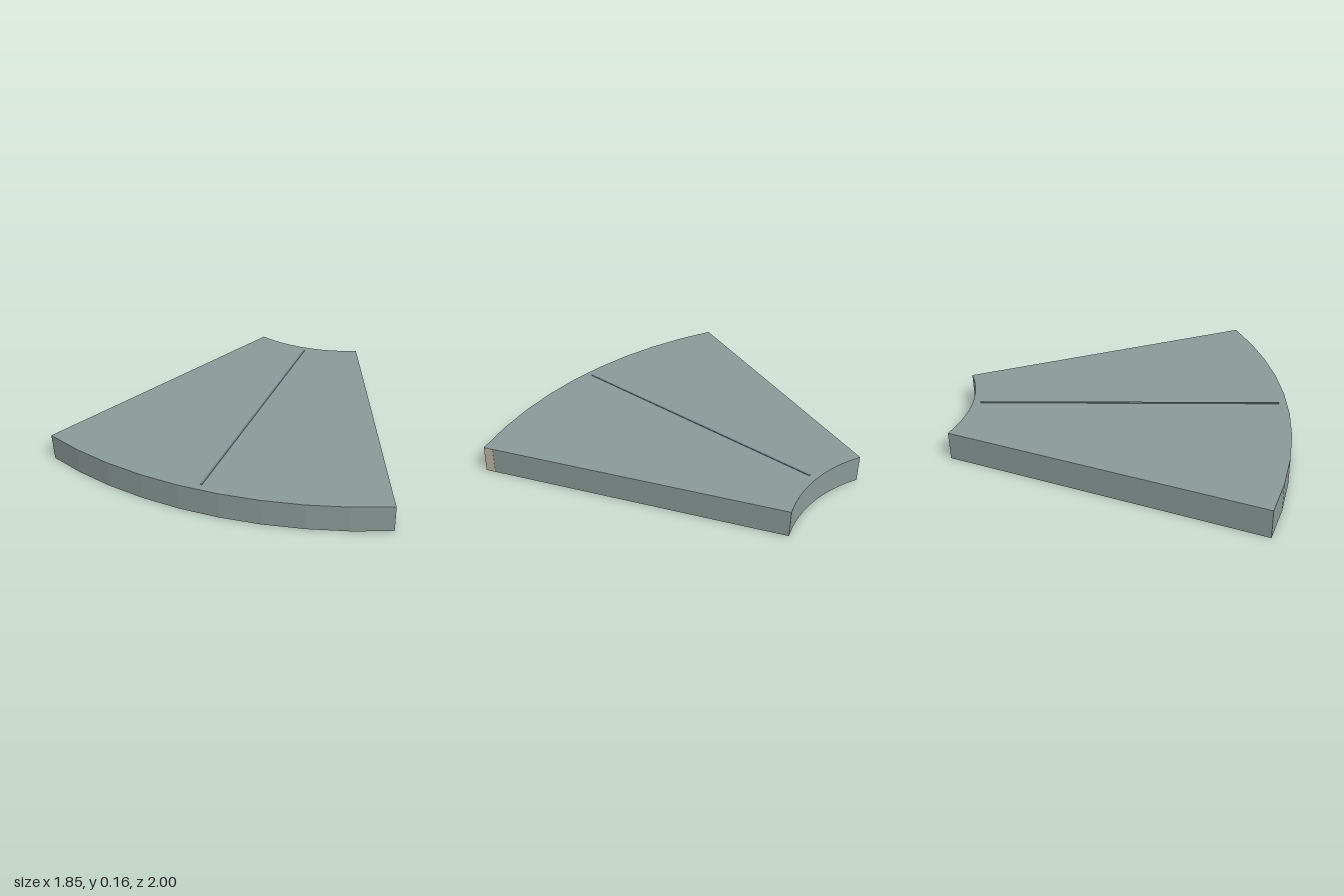
import * as THREE from 'three';

const CX = -0.925, CZ = -1.615;   // centre of both arcs
const SWEEP = Math.PI / 4, STEPS = 9;
const INNER = 0.87, OUTER = 2.615, TOP = 0.153;

const polar = (r, a) => new THREE.Vector2(CX + r * Math.sin(a), CZ + r * Math.cos(a));

// Ring sector lying flat between two radii, two heights and two angles
function sector(r0, r1, y0, y1, a0, a1) {
  const points = [];
  for (let i = 0; i <= STEPS; i++) points.push(polar(r1, a0 + (a1 - a0) * i / STEPS));
  for (let i = STEPS; i >= 0; i--) points.push(polar(r0, a0 + (a1 - a0) * i / STEPS));
  const geometry = new THREE.ExtrudeGeometry(new THREE.Shape(points), { depth: y1 - y0, bevelEnabled: false });
  return geometry.rotateX(Math.PI / 2).translate(0, y1, 0);
}

export function createModel() {
  const group = new THREE.Group();
  const add = (name, geometry, color) => {
    const mesh = new THREE.Mesh(geometry, new THREE.MeshStandardMaterial({ color, flatShading: true }));
    mesh.name = name;
    group.add(mesh);
    return mesh;
  };

  // Main wedge-shaped slab
  add('slab', sector(INNER, OUTER, 0, TOP, 0, SWEEP), 0x8a9a98);

  // Pale rim set into the outer edge, showing at the slanted end
  add('outerRim', sector(2.56, OUTER - 0.002, 0.0005, TOP - 0.0005, 0.01, SWEEP + 0.0004), 0xbdb5a4);

  // Thin raised seam along the middle radius
  const seam = add('seam', new THREE.BoxGeometry(0.012, 0.008, 1.656), 0x74868b);
  const mid = polar(1.741, SWEEP / 2);
  seam.position.set(mid.x, TOP, mid.y);
  seam.rotation.y = SWEEP / 2;

  return group;
}
